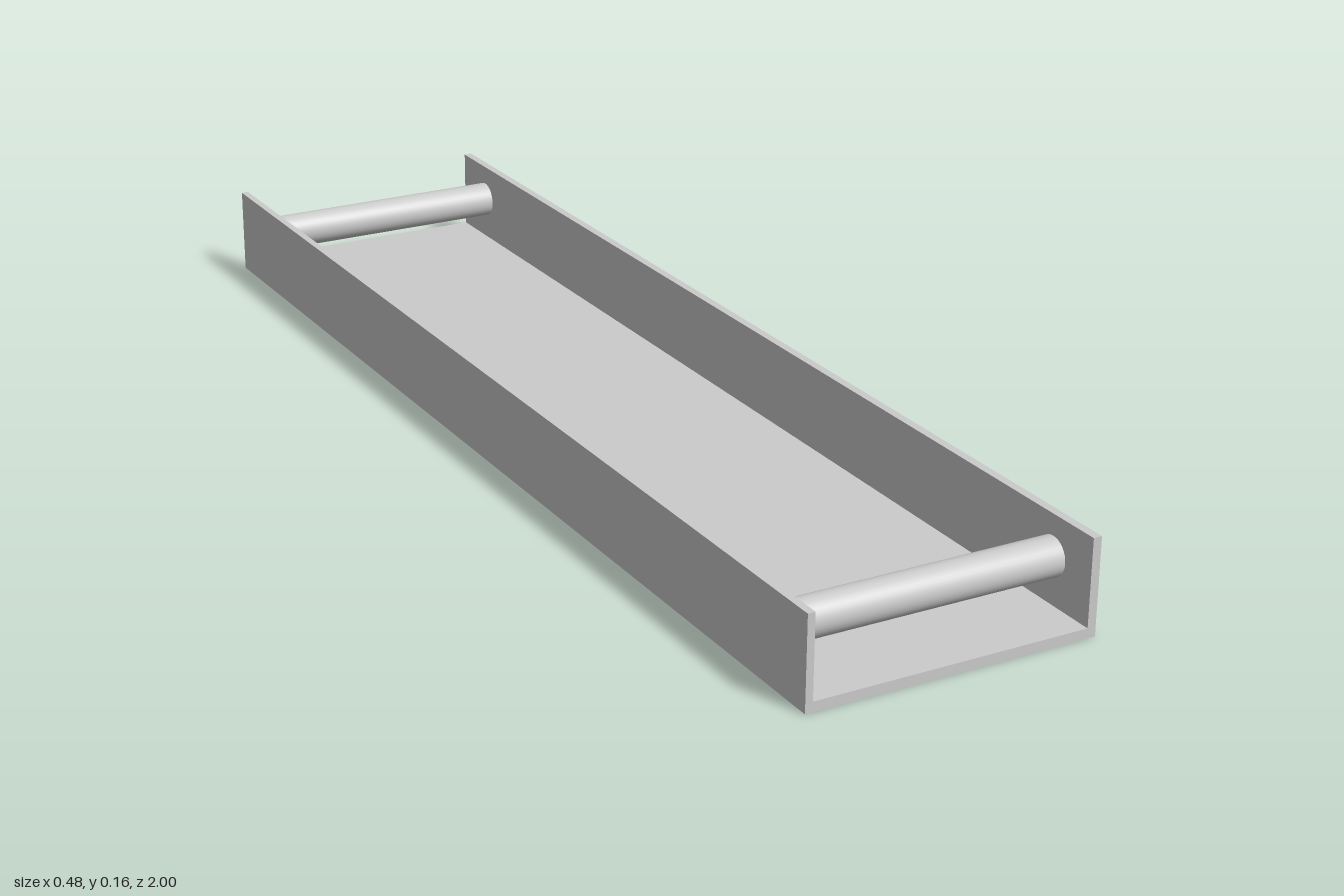
import * as THREE from 'three';
import { mergeVertices } from 'three/addons/utils/BufferGeometryUtils.js';

const LENGTH = 2;
const FLOOR = 0.016;                       // floor thickness
const RIGHT = { outer: -0.239, inner: -0.227, top: 0.149 };
const LEFT = { outer: 0.239, inner: 0.225, top: 0.155 };
const BAR = { radius: 0.031, y: 0.091, z: 0.91 };

export function createModel() {
  const group = new THREE.Group();
  const material = new THREE.MeshStandardMaterial({ color: 0xcccccc });

  // U-shaped channel, open at both ends, with one wall slightly taller
  const profile = new THREE.Shape([
    [RIGHT.outer, 0], [LEFT.outer, 0],
    [LEFT.outer, LEFT.top], [LEFT.inner, LEFT.top],
    [LEFT.inner, FLOOR], [RIGHT.inner, FLOOR],
    [RIGHT.inner, RIGHT.top], [RIGHT.outer, RIGHT.top],
  ].map(([x, y]) => new THREE.Vector2(x, y)));
  const channelGeometry = new THREE.ExtrudeGeometry(profile, { depth: LENGTH, bevelEnabled: false });
  channelGeometry.translate(0, 0, -LENGTH / 2);
  const channel = new THREE.Mesh(channelGeometry, material);
  channel.name = 'channel';
  group.add(channel);

  // Round cross bars between the walls, shaded smoothly into their ends
  let barGeometry = new THREE.CylinderGeometry(BAR.radius, BAR.radius, LEFT.inner - RIGHT.inner, 32);
  barGeometry.deleteAttribute('normal');
  barGeometry.deleteAttribute('uv');
  barGeometry = mergeVertices(barGeometry);
  barGeometry.computeVertexNormals();
  barGeometry.rotateZ(Math.PI / 2);
  for (const [name, side] of [['frontCrossBar', 1], ['backCrossBar', -1]]) {
    const bar = new THREE.Mesh(barGeometry, material);
    bar.name = name;
    bar.position.set((LEFT.inner + RIGHT.inner) / 2, BAR.y, side * BAR.z);
    group.add(bar);
  }

  return group;
}
